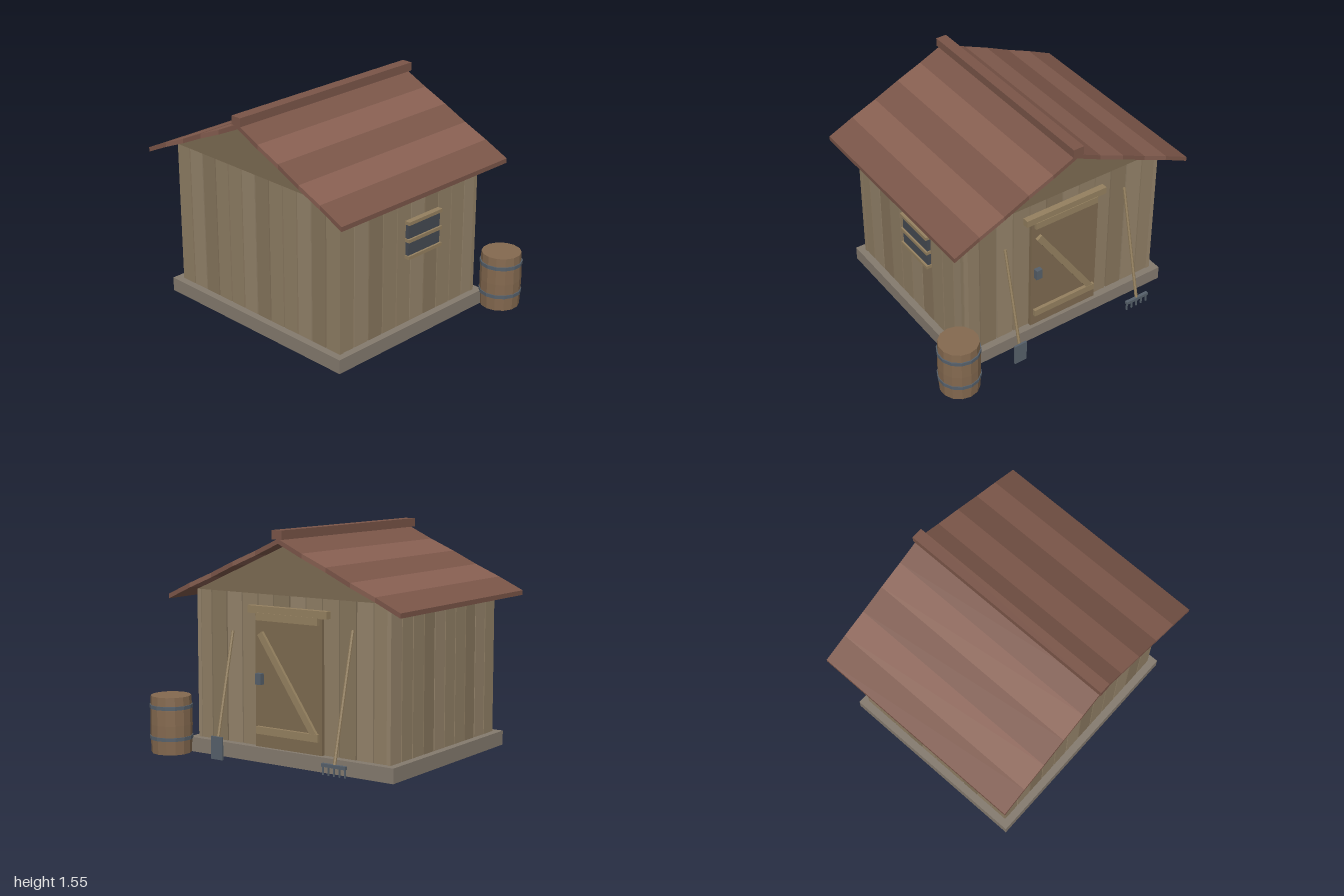
import * as THREE from 'three';

const mat = (color, double = false) => new THREE.MeshStandardMaterial({
  color, flatShading: true, side: double ? THREE.DoubleSide : THREE.FrontSide });
const WOOD = [mat(0x8f7e64), mat(0x86755c), mat(0x94836a)];
const BEAM = mat(0x94805f), DOOR = mat(0x7d6a50), GABLE = mat(0x7c6b52);
const STONE = mat(0x847a6e), METAL = mat(0x56606a), GLASS = mat(0x454a52);
const ROOF = [mat(0x7a5548), mat(0x875f51)], BARREL = mat(0x84694f);

// Hut centre and half extents of the walls
const CX = -0.07, CZ = 0.07, HX = 0.783, HZ = 0.655;
const BASE = 0.1, EAVE = 1.12, PLANK = 0.03;

function add(parent, name, geometry, material, x = 0, y = 0, z = 0) {
  const m = new THREE.Mesh(geometry, material);
  m.name = name;
  m.position.set(x, y, z);
  parent.add(m);
  return m;
}
const box = (parent, name, material, w, h, d, x, y, z) =>
  add(parent, name, new THREE.BoxGeometry(w, h, d), material, x, y, z);

// Straight round or square bar between two points
function bar(parent, name, material, a, b, r, sides = 6) {
  const p = new THREE.Vector3(...a), q = new THREE.Vector3(...b), d = q.clone().sub(p);
  const m = add(parent, name, new THREE.CylinderGeometry(r, r, d.length(), sides), material);
  m.position.copy(p).add(q).multiplyScalar(0.5);
  m.quaternion.setFromUnitVectors(new THREE.Vector3(0, 1, 0), d.normalize());
  return m;
}

function extrude(points, depth) {
  const s = new THREE.Shape(points.map(([x, y]) => new THREE.Vector2(x, y)));
  return new THREE.ExtrudeGeometry(s, { depth, bevelEnabled: false });
}

// Row of upright planks with narrow gaps, centred on its group
function plankWall(parent, name, halfWidth, count) {
  const wall = new THREE.Group();
  wall.name = name;
  const pitch = (2 * halfWidth + 0.009) / count;
  for (let i = 0; i < count; i++) {
    box(wall, 'plank', WOOD[(i * 2 + (i >> 2)) % 3], pitch - 0.009, EAVE - BASE, PLANK,
      -halfWidth - 0.0045 + pitch * (i + 0.5) + 0.0045 - 0.0045 + 0.0045, (EAVE + BASE) / 2, 0);
  }
  parent.add(wall);
  return wall;
}

function buildWalls(hut) {
  for (const s of [1, -1]) {
    plankWall(hut, s > 0 ? 'frontWall' : 'backWall', HX, 12)
      .position.set(CX, 0, CZ + s * (HZ - PLANK / 2));
    const side = plankWall(hut, s > 0 ? 'leftWall' : 'rightWall', HZ, 10);
    side.position.set(CX + s * (HX - PLANK / 2), 0, CZ);
    side.rotation.y = Math.PI / 2;
    // Triangular gable above each end wall
    add(hut, 'gable', extrude([[-HX, EAVE], [HX, EAVE], [0, 1.463]], PLANK), GABLE,
      CX, 0, CZ + s * (HZ - PLANK / 2) - PLANK / 2);
  }
}

// Two slopes of slightly rippled sheets, with a ridge beam
function buildRoof(hut) {
  const run = 0.93, n = 5, top = 1.5, drop = 0.408, t = 0.032, length = 1.57;
  const height = i => top - drop * i / n - (i % 2 ? 0.004 : 0);
  for (const s of [1, -1]) {
    for (let i = 0; i < n; i++) {
      const x0 = s * run * i / n, x1 = s * run * (i + 1) / n;
      const a = height(i), b = height(i + 1);
      add(hut, 'roofSheet', extrude([[x0, a - t], [x1, b - t], [x1, b], [x0, a]], length),
        ROOF[i % 2], CX, 0, CZ - length / 2);
    }
  }
  box(hut, 'ridgeBeam', ROOF[0], 0.08, 0.06, 1.595, CX, 1.525, CZ);
}

function buildWindow(hut) {
  const g = new THREE.Group();
  g.name = 'window';
  g.position.set(CX + HX, 0, -0.035);
  box(g, 'pane', GLASS, 0.025, 0.25, 0.305, 0.0125, 0.715, 0);
  for (const y of [0.592, 0.712, 0.837])
    box(g, 'windowBar', BEAM, y === 0.712 ? 0.037 : 0.04, 0.024, 0.32, 0.02, y, 0);
  hut.add(g);
}

function buildDoor(hut) {
  const g = new THREE.Group();
  g.name = 'door';
  g.position.set(CX, 0, CZ - HZ);
  box(g, 'doorPanel', DOOR, 0.54, 0.89, 0.025, 0, 0.545, -0.0125);
  box(g, 'doorHeader', BEAM, 0.64, 0.05, 0.045, 0, 1.02, -0.0225);
  box(g, 'topBatten', BEAM, 0.5, 0.05, 0.025, 0, 0.975, -0.037);
  box(g, 'bottomBatten', BEAM, 0.5, 0.05, 0.025, 0, 0.215, -0.037);
  const dx = -0.44, dy = -0.64;
  const brace = box(g, 'diagonalBrace', BEAM, 0.045, Math.hypot(dx, dy), 0.022, 0, 0.545, -0.036);
  brace.rotation.z = Math.atan2(-dx, dy) + Math.PI;
  box(g, 'doorLatch', METAL, 0.045, 0.075, 0.035, 0.225, 0.56, -0.0425);
  hut.add(g);
}

function buildTools(root) {
  const shovel = new THREE.Group();
  shovel.name = 'shovel';
  bar(shovel, 'shovelHandle', BEAM, [0.4, 0.86, -0.597], [0.4, 0.13, -0.77], 0.011);
  box(shovel, 'shovelBlade', METAL, 0.095, 0.155, 0.014, 0.4, 0.09, -0.777);
  root.add(shovel);

  const rake = new THREE.Group();
  rake.name = 'rake';
  bar(rake, 'rakeHandle', BEAM, [-0.57, 0.94, -0.597], [-0.57, 0.1, -0.8], 0.011);
  box(rake, 'rakeHead', METAL, 0.185, 0.022, 0.022, -0.57, 0.1, -0.803);
  for (let i = -2; i <= 2; i++)
    box(rake, 'rakeTine', METAL, 0.01, 0.06, 0.01, -0.57 + i * 0.042, 0.065, -0.803);
  root.add(rake);
}

function buildBarrel(root) {
  const g = new THREE.Group();
  g.name = 'barrel';
  g.position.set(0.85, 0, -0.72);
  const profile = [[0, 0], [0.138, 0], [0.143, 0.1], [0.145, 0.2], [0.143, 0.3], [0.138, 0.395], [0, 0.395]];
  add(g, 'barrelBody', new THREE.LatheGeometry(profile.map(p => new THREE.Vector2(...p)), 14), BARREL);
  for (const y of [0.108, 0.322])
    add(g, 'barrelHoop', new THREE.CylinderGeometry(0.149, 0.149, 0.025, 14), METAL, 0, y, 0);
  root.add(g);
}

export function createModel() {
  const root = new THREE.Group();
  root.name = 'woodenShed';
  box(root, 'foundation', STONE, 1.67, BASE, 1.415, CX, BASE / 2, CZ);
  buildWalls(root);
  buildRoof(root);
  buildWindow(root);
  buildDoor(root);
  buildTools(root);
  buildBarrel(root);
  return root;
}
